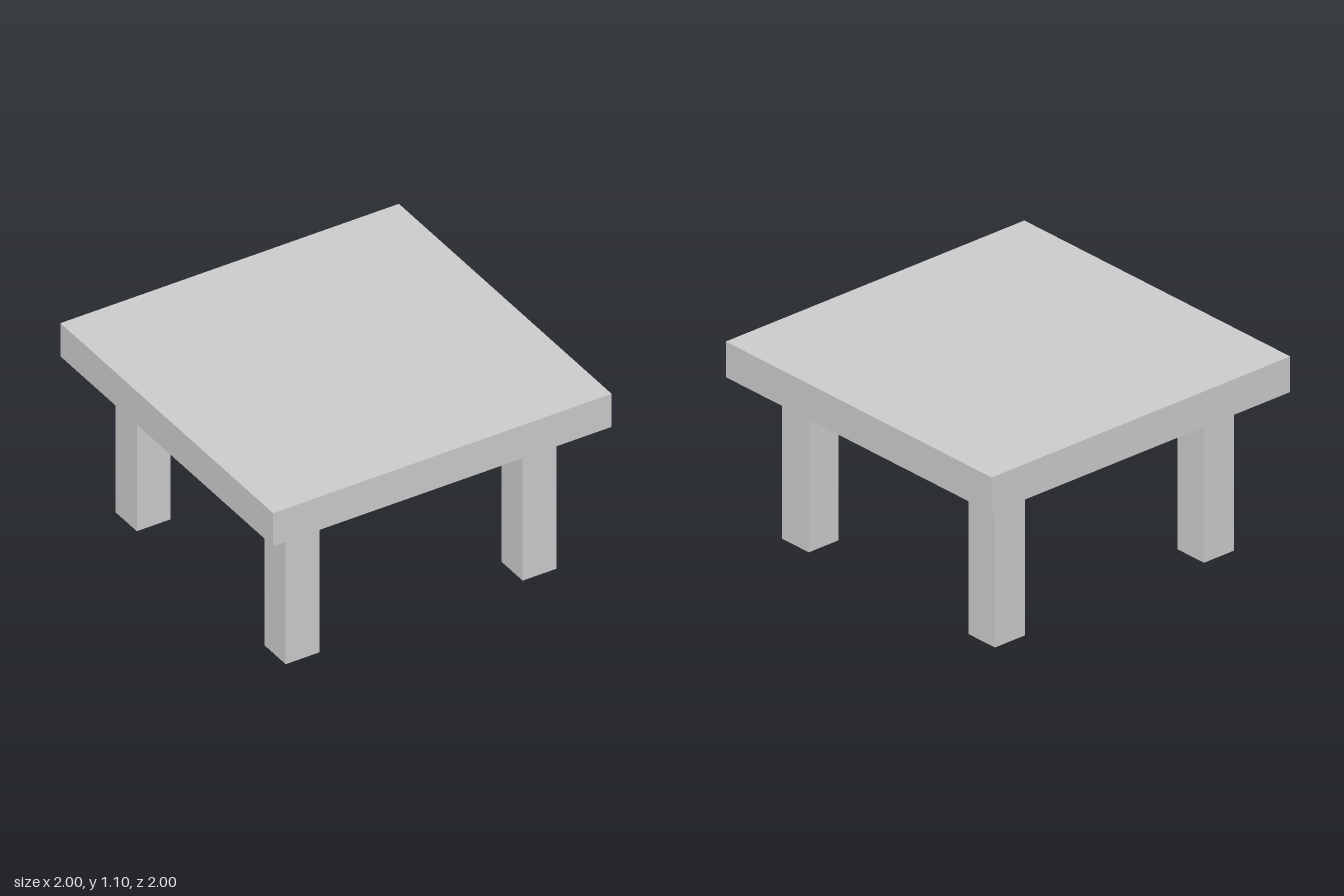
import * as THREE from 'three';

const TOP_SIZE = 2, TOP_THICKNESS = 0.2;
const LEG_WIDTH = 0.2, LEG_HEIGHT = 0.9, LEG_OFFSET = 0.7;

export function createModel() {
  const table = new THREE.Group();
  table.name = 'table';
  const material = new THREE.MeshStandardMaterial({ color: 0xcccccc });

  // Square slab top
  const top = new THREE.Mesh(new THREE.BoxGeometry(TOP_SIZE, TOP_THICKNESS, TOP_SIZE), material);
  top.name = 'tableTop';
  top.position.y = LEG_HEIGHT + TOP_THICKNESS / 2;
  table.add(top);

  // Four square legs, inset from the corners
  const legGeometry = new THREE.BoxGeometry(LEG_WIDTH, LEG_HEIGHT, LEG_WIDTH);
  for (const [side, x] of [['Left', 1], ['Right', -1]]) {
    for (const [end, z] of [['front', 1], ['back', -1]]) {
      const leg = new THREE.Mesh(legGeometry, material);
      leg.name = `${end}${side}Leg`;
      leg.position.set(x * LEG_OFFSET, LEG_HEIGHT / 2, z * LEG_OFFSET);
      table.add(leg);
    }
  }
  return table;
}
